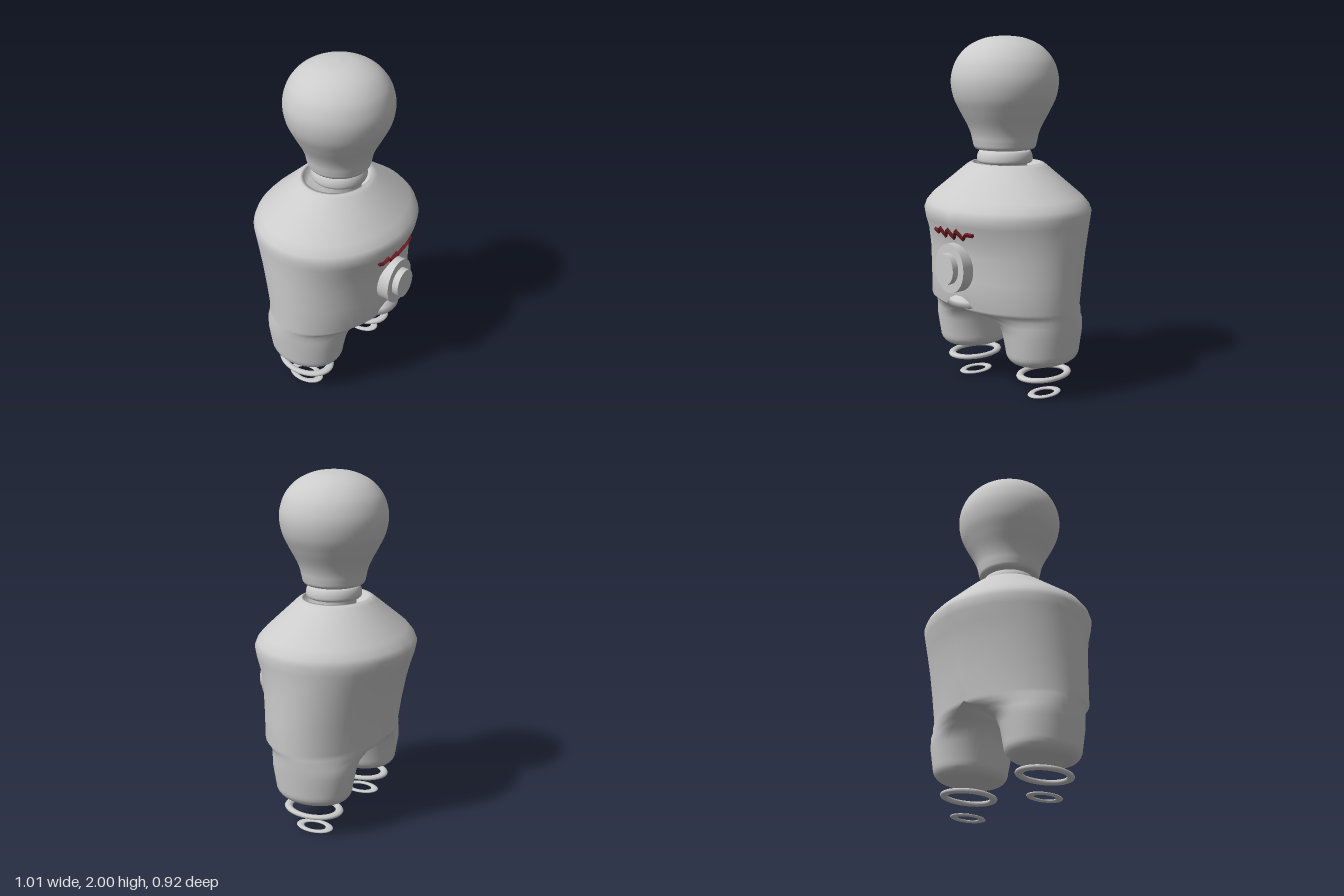
import * as THREE from 'three';
import { mergeVertices } from 'three/addons/utils/BufferGeometryUtils.js';

const grey = new THREE.MeshStandardMaterial({ color: 0xcccccc });
const red = new THREE.MeshStandardMaterial({ color: 0x6b1a20 });

function add(parent, name, geometry, material = grey) {
  const mesh = new THREE.Mesh(geometry, material);
  mesh.name = name;
  parent.add(mesh);
  return mesh;
}

// Smooth turned shape through [radius, y] points
function turned(points, steps) {
  const curve = new THREE.SplineCurve(points.map(([r, y]) => new THREE.Vector2(r, y)));
  const profile = curve.getPoints(steps);
  profile.forEach((p) => { p.x = Math.max(p.x, 0); });
  return new THREE.LatheGeometry(profile, 56);
}

// Torso from the neck socket over the shoulders to the belly: [y, half width, front z, back z]
const torso = [
  [1.24, 0, 0, 0],
  [1.24, 0.18, 0.16, -0.17],
  [1.3, 0.195, 0.17, -0.19],
  [1.3, 0.215, 0.18, -0.205],
  [1.285, 0.24, 0.205, -0.225],
  [1.12, 0.46, 0.375, -0.4],
  [1.075, 0.495, 0.415, -0.44],
  [1.04, 0.505, 0.43, -0.455],
  [0.99, 0.5, 0.42, -0.445],
  [0.92, 0.498, 0.39, -0.42],
  [0.82, 0.496, 0.37, -0.39],
  [0.68, 0.495, 0.36, -0.36],
  [0.525, 0.492, 0.355, -0.335],
];

// Crotch and leg: [y, outer x, inner x, middle x, front z, back z]
const leg = [
  [0.5, 0.49, 0, 0.05, 0.31, -0.325],
  [0.475, 0.488, 0.01, 0.15, 0.265, -0.29],
  [0.44, 0.485, 0.045, 0.24, 0.235, -0.275],
  [0.38, 0.48, 0.07, 0.275, 0.222, -0.265],
];

// Rounded foot end: a quarter arc of insets, then closed at the centre
function footSections() {
  const radius = 0.07, steps = 6, rows = [];
  for (let i = 0; i <= steps; i++) {
    const a = (i / steps) * Math.PI / 2;
    const inset = radius * (1 - Math.cos(a));
    rows.push([0.2 + radius * (1 - Math.sin(a)), 0.466 - inset, 0.089 + inset, 0.28, 0.202 - inset, -0.246 + inset]);
  }
  rows.push([0.2, 0.28, 0.28, 0.28, -0.02, -0.02]);
  return rows;
}

// Two mirrored half lofts, welded along the middle
function bodyGeometry() {
  const sections = [...torso.map(([y, w, f, b]) => [y, w, 0, 0, f, b]), ...leg, ...footSections()];
  const half = 28, count = half * 2;
  const positions = [], index = [];
  for (const side of [1, -1]) {
    const base = positions.length / 3;
    for (const [y, outer, inner, mid, front, back] of sections) {
      for (let j = 0; j < count; j++) {
        const a = Math.PI / 2 - (j / half) * Math.PI;
        const c = j % half === 0 ? 0 : Math.cos(a);
        const x = mid + (c > 0 ? outer - mid : mid - inner) * c;
        const z = (front + back) / 2 + ((front - back) / 2) * Math.sin(a);
        positions.push(side * x, y, z);
      }
    }
    for (let i = 0; i < sections.length - 1; i++) {
      for (let j = 0; j < count; j++) {
        const a = base + i * count + j, b = base + i * count + ((j + 1) % count);
        const c = a + count, d = b + count;
        // No wall inside the torso
        if ([a, b, c, d].every((k) => Math.abs(positions[k * 3]) < 1e-5)) continue;
        if (side > 0) index.push(a, c, b, b, c, d);
        else index.push(a, b, c, b, d, c);
      }
    }
  }
  let g = new THREE.BufferGeometry();
  g.setAttribute('position', new THREE.Float32BufferAttribute(positions, 3));
  g.setIndex(index);
  g = mergeVertices(g, 1e-5);
  g.computeVertexNormals();
  return g;
}

// Thin zigzag strip, bent to follow the chest
function zigzagGeometry() {
  const line = [[-0.155, -0.002], [-0.12, -0.012], [-0.09, 0.022], [-0.058, -0.022], [-0.022, 0.025],
    [0.014, -0.022], [0.046, 0.028], [0.082, -0.024], [0.108, 0.008], [0.155, 0]];
  const t = 0.008;
  const outline = [...line.map(([x, y]) => [x, y + t]), ...line.map(([x, y]) => [x, y - t]).reverse()];
  const shape = new THREE.Shape(outline.map(([x, y]) => new THREE.Vector2(x, y)));
  const g = new THREE.ExtrudeGeometry(shape, { depth: 0.025, bevelEnabled: false });
  const p = g.attributes.position;
  for (let i = 0; i < p.count; i++) p.setZ(i, p.getZ(i) - 0.9 * p.getX(i) ** 2);
  g.rotateX(0.5);
  g.computeVertexNormals();
  return g;
}

export function createModel() {
  const model = new THREE.Group();
  model.name = 'figure';

  add(model, 'body', bodyGeometry());

  // Bulb-shaped head
  const head = add(model, 'head', turned([
    [0, 1.375], [0.14, 1.375], [0.17, 1.385], [0.18, 1.415], [0.19, 1.46], [0.21, 1.51], [0.25, 1.585],
    [0.285, 1.66], [0.3, 1.74], [0.292, 1.81], [0.262, 1.88], [0.2, 1.945], [0.105, 1.988], [0, 2],
  ], 70));
  head.position.z = 0.005;

  // Neck: post and rounded collar
  const neck = new THREE.Group();
  neck.name = 'neck';
  neck.position.z = 0.005;
  model.add(neck);
  add(neck, 'neckPost', new THREE.CylinderGeometry(0.125, 0.125, 0.14, 40)).position.y = 1.31;
  add(neck, 'neckCollar', turned([
    [0.12, 1.295], [0.145, 1.3], [0.156, 1.312], [0.156, 1.335], [0.15, 1.355], [0.14, 1.368], [0.12, 1.372],
  ], 24));

  // Chest dial: two stepped oval discs
  const dial = new THREE.Group();
  dial.name = 'chestDial';
  dial.position.y = 0.753;
  model.add(dial);
  for (const [name, rx, ry, z0, z1] of [['dialBase', 0.117, 0.137, 0.32, 0.425], ['dialButton', 0.075, 0.087, 0.4, 0.463]]) {
    const disc = add(dial, name, new THREE.CylinderGeometry(1, 1, z1 - z0, 40).rotateX(Math.PI / 2));
    disc.scale.set(rx, ry, 1);
    disc.position.z = (z0 + z1) / 2;
  }

  // Small hood below the dial
  const hood = add(model, 'hood', new THREE.LatheGeometry([
    [0, 0], [0.107, 0], [0.085, 0.03], [0.05, 0.053], [0.02, 0.063], [0, 0.065],
  ].map(([r, y]) => new THREE.Vector2(r, y)), 24));
  hood.scale.z = 0.6;
  hood.position.set(0, 0.533, 0.33);

  add(model, 'chestZigzag', zigzagGeometry(), red).position.set(0, 0.947, 0.393);

  // Floating oval rings under each leg: [name, y, radius x, radius z, band width, height, z]
  const rings = [['UpperRing', 0.124, 0.13, 0.177, 0.035, 0.028, -0.023], ['LowerRing', 0.007, 0.073, 0.112, 0.03, 0.014, -0.028]];
  for (const side of [1, -1]) {
    for (const [name, y, rx, rz, band, height, z] of rings) {
      const geometry = new THREE.TorusGeometry(rx - band / 2, band / 2, 10, 48).rotateX(Math.PI / 2);
      const ring = add(model, (side > 0 ? 'left' : 'right') + name, geometry);
      ring.scale.set(1, height / band, rz / rx);
      ring.position.set(side * 0.288, y, z);
    }
  }
  return model;
}
